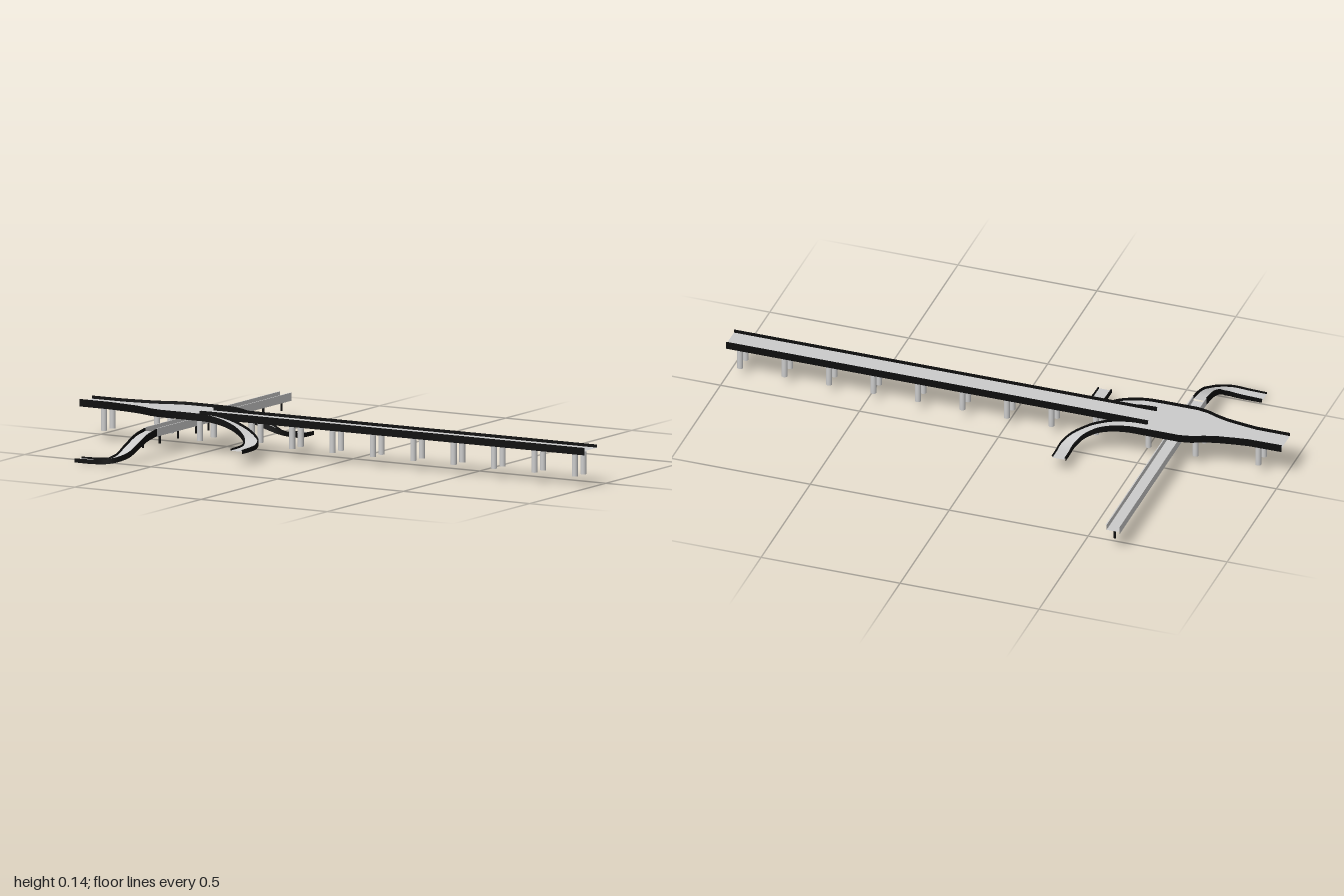
import * as THREE from 'three';
import { toCreasedNormals } from 'three/addons/utils/BufferGeometryUtils.js';

const grey = new THREE.MeshStandardMaterial({ color: 0xcccccc });
const dark = new THREE.MeshStandardMaterial({ color: 0x0c0c0c });
const MID = 0.097; // centre line of the main deck in z
const UP = new THREE.Vector3(0, 1, 0);

// Strip of quads between neighbouring profile points along all stations
function strips(sections, pairs) {
  const pos = [];
  for (let i = 0; i < sections.length - 1; i++) {
    const s = sections[i], e = sections[i + 1];
    for (const [a, b] of pairs)
      for (const p of [s[a], s[b], e[b], s[a], e[b], e[a]]) pos.push(p.x, p.y, p.z);
  }
  const g = new THREE.BufferGeometry();
  g.setAttribute('position', new THREE.Float32BufferAttribute(pos, 3));
  return toCreasedNormals(g, 0.5);
}

// Open-ended U-shaped road: stations hold p (bottom centre), t (direction), w (half width), h (height)
function road(name, stations, shell = dark, floorShare = 0.6, rim = 0.004) {
  const sections = stations.map(({ p, t, w, h }) => {
    const left = new THREE.Vector3().crossVectors(UP, t).setY(0).normalize();
    const at = (d, y) => p.clone().addScaledVector(left, d).add(new THREE.Vector3(0, y, 0));
    const f = h * floorShare, n = w - rim;
    return [at(w, 0), at(w, h), at(n, h), at(n, f), at(-n, f), at(-n, h), at(-w, h), at(-w, 0)];
  });
  const group = new THREE.Group();
  group.name = name;
  const surface = new THREE.Mesh(strips(sections, [[3, 4]]), grey);
  surface.name = name + 'Surface';
  const sides = new THREE.Mesh(
    strips(sections, [[0, 1], [1, 2], [2, 3], [4, 5], [5, 6], [6, 7], [7, 0]]), shell);
  sides.name = name + 'Shell';
  group.add(surface, sides);
  return group;
}

// Stations along a smooth path, the shell getting thinner towards the end
function along(points, w, h0, h1, n = 32) {
  const curve = new THREE.CatmullRomCurve3(points.map((p) => new THREE.Vector3(...p)), false, 'centripetal');
  return Array.from({ length: n + 1 }, (_, i) => ({
    p: curve.getPointAt(i / n), t: curve.getTangentAt(i / n), w,
    h: THREE.MathUtils.lerp(h0, h1, i / n),
  }));
}

function pillar(name, x, z, r, y0, y1, material, sides) {
  const m = new THREE.Mesh(new THREE.CylinderGeometry(r, r, y1 - y0, sides), material);
  m.name = name;
  m.position.set(x, (y0 + y1) / 2, z);
  return m;
}

export function createModel() {
  const model = new THREE.Group();
  model.name = 'highwayInterchange';

  // Main deck: flared part, then the long straight part
  const xDir = new THREE.Vector3(1, 0, 0);
  const deck = ([x, w]) => ({ p: new THREE.Vector3(x, 0.115, MID), t: xDir, w, h: 0.025 });
  model.add(road('flaredDeck', [[-1, 0.044], [-0.88, 0.045], [-0.83, 0.052], [-0.77, 0.062],
    [-0.73, 0.074], [-0.69, 0.09], [-0.65, 0.098], [-0.52, 0.098]].map(deck)));
  model.add(road('mainDeck', [[-0.52, 0.044], [1, 0.044]].map(deck)));

  // Two exit ramps, mirrored about the deck's centre line
  for (const s of [-1, 1]) {
    const path = [[-0.52, 0.115, 0.073], [-0.46, 0.114, 0.073], [-0.39, 0.102, 0.073],
      [-0.33, 0.08, 0.079], [-0.285, 0.057, 0.103], [-0.266, 0.045, 0.145],
      [-0.265, 0.042, 0.19], [-0.265, 0.042, 0.237]];
    model.add(road(s > 0 ? 'frontExitRamp' : 'backExitRamp',
      along(path.map(([x, y, z]) => [x, y, MID + s * z]), 0.025, 0.025, 0.013)));
  }

  // Crossing road below the deck
  const zDir = new THREE.Vector3(0, 0, 1);
  model.add(road('crossRoad', [-0.565, 0.32].map((z) => ({
    p: new THREE.Vector3(-0.61, 0.071, z), t: zDir, w: 0.025, h: 0.028 })), grey, 0.35));

  // Curved ramp taking the crossing road down to the ground
  model.add(road('groundRamp', along([[-0.61, 0.072, 0.32], [-0.61, 0.063, 0.38],
    [-0.61, 0.043, 0.44], [-0.619, 0.017, 0.495], [-0.65, 0.004, 0.526],
    [-0.7, 0, 0.531], [-0.77, 0, 0.531]], 0.025, 0.025, 0.013)));

  // Pairs of pillars under the main deck, further apart where it is wide
  const xs = [-0.91, -0.69, -0.52, -0.325, -0.165, -0.005, 0.155, 0.315, 0.475, 0.635, 0.795, 0.955];
  for (const x of xs) {
    const gap = x === -0.69 || x === -0.52 ? 0.045 : 0.028;
    for (const s of [-1, 1])
      model.add(pillar('deckPillar', x, 0.1 + s * gap, 0.0105, 0.038, 0.116, grey, 16));
  }

  // Thin posts under the crossing road
  for (const z of [-0.54, -0.42, -0.3, -0.18, -0.06, 0.02, 0.14, 0.26, 0.37])
    model.add(pillar('crossRoadPost', -0.61, z, 0.004, 0.038, z > 0.3 ? 0.066 : 0.072, dark, 8));

  return model;
}
